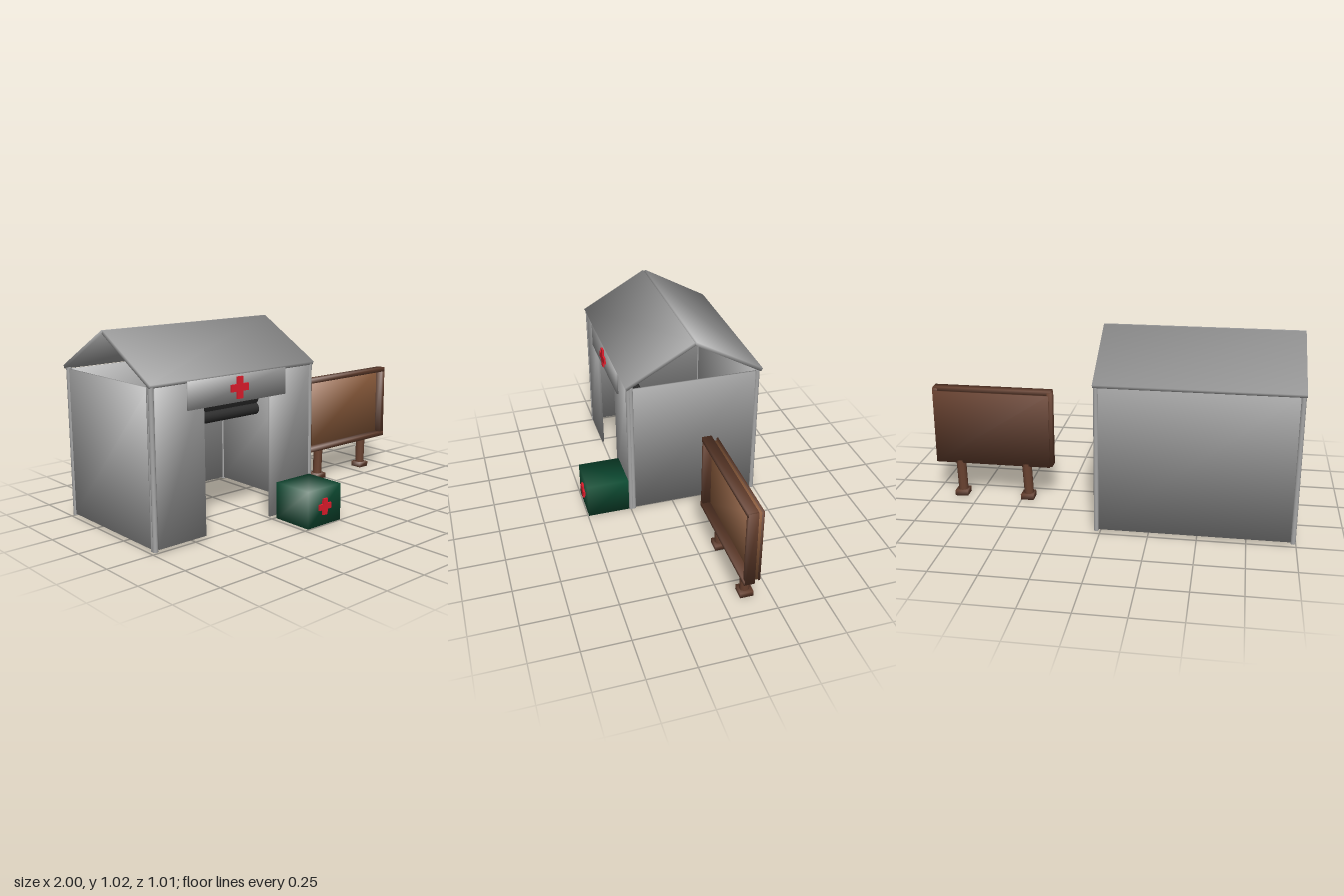
import * as THREE from 'three';

const mat = (color) => new THREE.MeshStandardMaterial({ color, side: THREE.DoubleSide });

// Box with soft shading: each corner's normal points diagonally outward
function softBox(w, h, d) {
  const geometry = new THREE.BoxGeometry(w, h, d);
  const { position, normal } = geometry.attributes;
  const n = new THREE.Vector3();
  for (let i = 0; i < position.count; i++) {
    n.set(Math.sign(position.getX(i)), Math.sign(position.getY(i)), Math.sign(position.getZ(i))).normalize();
    normal.setXYZ(i, n.x, n.y, n.z);
  }
  return geometry;
}

export function createModel() {
  const model = new THREE.Group();
  const grey = mat(0xa6a6a6), darkGrey = mat(0x3c3c3c), rollGrey = mat(0x2c2c2c);
  const green = mat(0x0f5036), red = mat(0xe01c2c);
  const wood = mat(0x694230), paleWood = mat(0x976442);

  const add = (parent, name, geometry, material) => {
    const mesh = new THREE.Mesh(geometry, material);
    mesh.name = name;
    parent.add(mesh);
    return mesh;
  };
  // Box given by its lower and upper limits on each axis
  const box = (parent, name, [x0, x1], [y0, y1], [z0, z1], material) => {
    const mesh = add(parent, name, softBox(x1 - x0, y1 - y0, z1 - z0), material);
    mesh.position.set((x0 + x1) / 2, (y0 + y1) / 2, (z0 + z1) / 2);
    return mesh;
  };
  const group = (name) => {
    const g = new THREE.Group();
    g.name = name;
    model.add(g);
    return g;
  };
  // Raised plus-shaped emblem; s is half the span, a half the arm width
  const cross = (parent, x, y, z, s, a, depth) => {
    const outline = [[a, s], [a, a], [s, a], [s, -a], [a, -a], [a, -s],
      [-a, -s], [-a, -a], [-s, -a], [-s, a], [-a, a], [-a, s]];
    const shape = new THREE.Shape(outline.map(([u, v]) => new THREE.Vector2(u, v)).reverse());
    add(parent, 'redCross', new THREE.ExtrudeGeometry(shape, { depth, bevelEnabled: false }), red)
      .position.set(x, y, z);
  };

  // Shelter walls, with a doorway in the front
  const shelter = group('shelter');
  box(shelter, 'backWall', [-0.985, 0.02], [0.02, 0.793], [-0.485, -0.475], grey);
  for (const x of [-0.985, 0.018]) {
    box(shelter, 'sideWall', [x - 0.005, x + 0.005], [0.02, 0.793], [-0.48, 0.235], grey);
    // One pole at each back corner, a pair at each front corner
    for (const z of [-0.481, 0.235, 0.249]) {
      add(shelter, 'cornerPole', new THREE.CylinderGeometry(0.013, 0.013, 0.787, 12), grey)
        .position.set(x, 0.4065, z);
    }
  }
  box(shelter, 'frontWallRight', [-0.97, -0.69], [0.022, 0.8], [0.246, 0.258], grey);
  box(shelter, 'frontWallLeft', [-0.27, 0.005], [0.022, 0.8], [0.246, 0.258], grey);

  // Door curtain, drawn inward and rolled up at its lower edge
  const curtain = add(shelter, 'doorCurtain', softBox(0.46, 0.2, 0.01), darkGrey);
  curtain.position.set(-0.48, 0.695, 0.183);
  curtain.rotation.x = 0.553;
  const roll = add(shelter, 'curtainRoll', new THREE.CylinderGeometry(0.032, 0.032, 0.46, 16), rollGrey);
  roll.position.set(-0.48, 0.578, 0.12);
  roll.rotation.z = Math.PI / 2;

  // Two roof slopes meeting at the ridge
  for (const side of [1, -1]) {
    const slope = add(shelter, 'roofSlope', softBox(1.032, 0.02, 0.437), grey);
    slope.position.set(-0.484, 0.908, -0.12 + side * 0.192);
    slope.rotation.x = side * 0.51;
  }

  // Sign over the doorway
  box(shelter, 'doorSign', [-0.79, -0.17], [0.664, 0.802], [0.254, 0.267], grey);
  cross(shelter, -0.48, 0.737, 0.266, 0.055, 0.018, 0.012);

  // Supply crate
  const crate = group('supplyCrate');
  box(crate, 'crateBody', [-0.225, 0.01], [0.003, 0.2], [0.26, 0.495], green);
  cross(crate, -0.11, 0.102, 0.494, 0.043, 0.015, 0.012);

  // Notice board
  const board = group('noticeBoard');
  for (const y of [0.192, 0.606]) {
    box(board, 'frameRail', [0.328, 0.992], [y, y + 0.025], [-0.114, -0.062], wood);
  }
  for (const x of [0.324, 0.969]) {
    box(board, 'frameStile', [x, x + 0.027], [0.198, 0.624], [-0.116, -0.066], wood);
  }
  box(board, 'boardPanel', [0.345, 0.975], [0.2, 0.608], [-0.141, -0.11], paleWood);
  box(board, 'backBoard', [0.336, 0.984], [0.2, 0.617], [-0.148, -0.139], wood);
  for (const [x, lean] of [[0.466, -0.05], [0.847, -0.03]]) {
    const leg = add(board, 'boardLeg', new THREE.CylinderGeometry(0.027, 0.026, 0.2, 10), wood);
    leg.position.set(x, 0.112, -0.126);
    leg.rotation.z = lean;
    box(board, 'boardFoot', [x - 0.036, x + 0.036], [0.004, 0.034], [-0.163, -0.092], wood)
      .rotation.z = lean;
  }

  return model;
}
